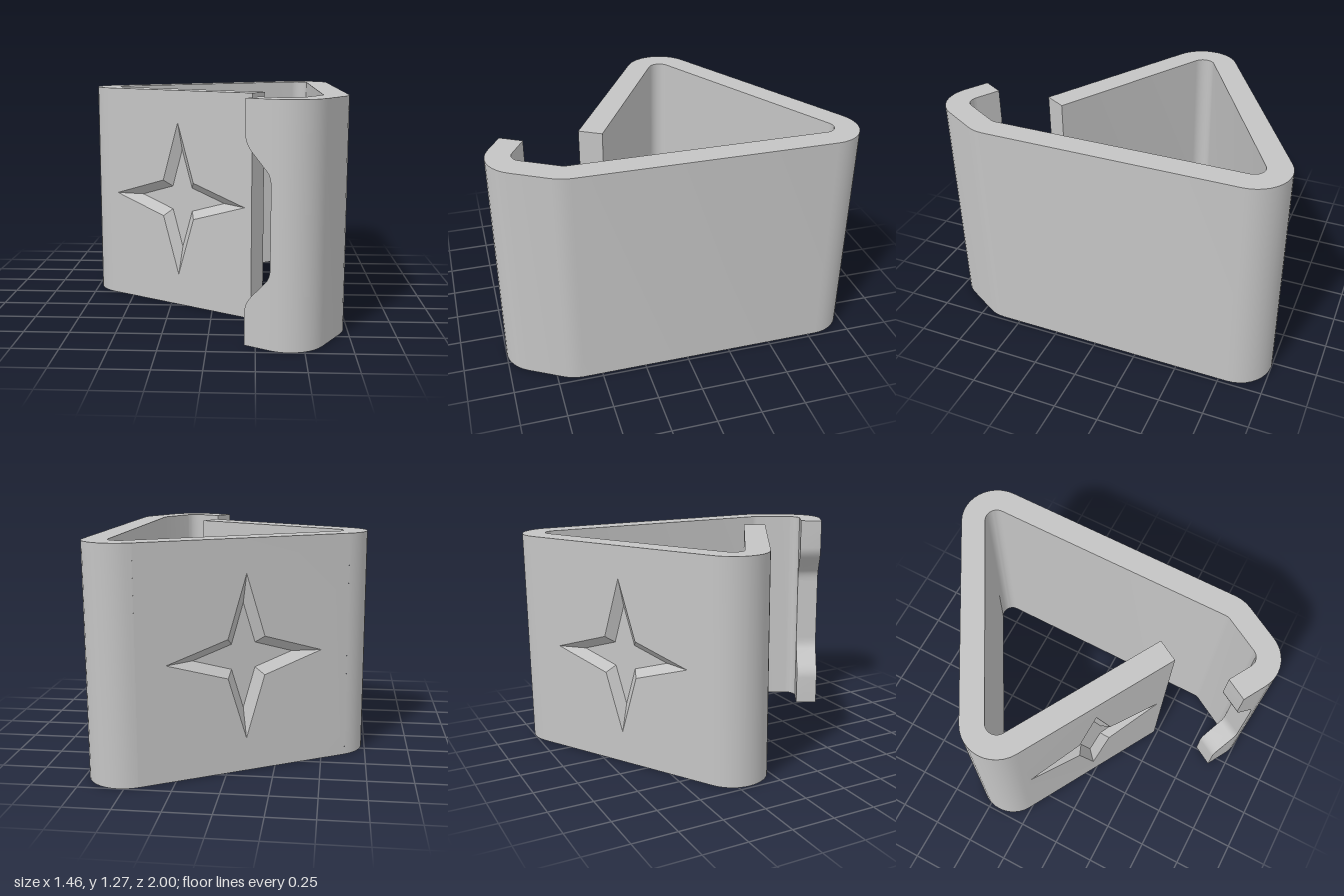
import * as THREE from 'three';
import { mergeGeometries, toCreasedNormals } from 'three/addons/utils/BufferGeometryUtils.js';

const H = 1.27;          // band height
const R = 0.2;           // outer bend radius
const T = 0.135;         // wall thickness
const STAR_DEPTH = 0.045;
const FLOOR_SCALE = 0.643;
const rad = THREE.MathUtils.degToRad;

// Bends of the band, seen from above: centre x, z and start / end angle
const BENDS = [
  [-0.532, -0.187, 120, 240],
  [0.53, -0.8, 240, 360],
  [0.53, 0.61, 0, 30],
  [0.42, 0.8, 30, 120],
];
const FRONT_LENGTH = 0.99;

const at = (bend, deg, r) =>
  new THREE.Vector2(bend[0] + r * Math.cos(rad(deg)), bend[1] + r * Math.sin(rad(deg)));

// Points along one face of the band, from the front panel's free end to the hook
function bandSide(r) {
  const start = at(BENDS[0], 120, r);
  const pts = [new THREE.Vector2(start.x + FRONT_LENGTH * Math.cos(rad(30)), start.y + FRONT_LENGTH * 0.5)];
  for (const b of BENDS) {
    const n = Math.round((b[3] - b[2]) / 10);
    for (let i = 0; i <= n; i++) pts.push(at(b, b[2] + ((b[3] - b[2]) * i) / n, r));
  }
  return pts;
}

function fromTriangles(points) {
  return new THREE.BufferGeometry().setFromPoints(points);
}

function merge(parts) {
  const plain = parts.map((p) => {
    const g = p.index ? p.toNonIndexed() : p;
    g.deleteAttribute('uv');
    g.deleteAttribute('normal');
    return g;
  });
  return toCreasedNormals(mergeGeometries(plain), 0.5);
}

// Frame whose z axis points out of an upright wall facing the given angle
function wallFrame(deg, x, z) {
  const n = new THREE.Vector3(Math.cos(rad(deg)), 0, Math.sin(rad(deg)));
  const u = new THREE.Vector3(n.z, 0, -n.x);
  return new THREE.Matrix4().makeBasis(u, new THREE.Vector3(0, 1, 0), n).setPosition(x, 0, z);
}

// Four-pointed star outline, counter-clockwise
function starPoints(scale) {
  const pts = [];
  for (let i = 0; i < 8; i++) {
    const r = (i % 2 ? 0.151 : 0.45) * scale;
    pts.push(new THREE.Vector2(r * Math.cos((i * Math.PI) / 4), r * Math.sin((i * Math.PI) / 4)));
  }
  return pts;
}

// Outer face of a panel between two plan points, with a tapered star recess
function starPanel(p, q, deg) {
  const w = p.distanceTo(q) / 2, h = H / 2;
  const face = new THREE.Shape([[-w, -h], [w, -h], [w, h], [-w, h]].map((c) => new THREE.Vector2(...c)));
  const rim = starPoints(1), floor = starPoints(FLOOR_SCALE);
  face.holes.push(new THREE.Path(rim));
  const tris = [];
  for (let i = 0; i < 8; i++) {
    const j = (i + 1) % 8;
    const a = new THREE.Vector3(rim[i].x, rim[i].y, 0), b = new THREE.Vector3(rim[j].x, rim[j].y, 0);
    const c = new THREE.Vector3(floor[j].x, floor[j].y, -STAR_DEPTH);
    const d = new THREE.Vector3(floor[i].x, floor[i].y, -STAR_DEPTH);
    tris.push(a, b, c, a, c, d);
  }
  const frame = wallFrame(deg, (p.x + q.x) / 2, (p.y + q.y) / 2);
  return [
    new THREE.ShapeGeometry(face),
    new THREE.ShapeGeometry(new THREE.Shape(floor)).translate(0, 0, -STAR_DEPTH),
    fromTriangles(tris),
  ].map((g) => g.translate(0, h, 0).applyMatrix4(frame));
}

// Bent band: walls, top and bottom edges, two star panels
function bandGeometry() {
  const outer = bandSide(R);
  const loop = [...outer, ...bandSide(R - T).reverse()];
  const backIndex = 13; // last point of the first bend
  const tris = [];
  loop.forEach((p, i) => {
    if (i === 0 || i === backIndex) return; // replaced by the star panels
    const q = loop[(i + 1) % loop.length];
    const a = new THREE.Vector3(p.x, 0, p.y), b = new THREE.Vector3(q.x, 0, q.y);
    const c = new THREE.Vector3(q.x, H, q.y), d = new THREE.Vector3(p.x, H, p.y);
    tris.push(a, d, c, a, c, b);
  });
  const flipped = loop.map((p) => new THREE.Vector2(p.x, -p.y));
  return merge([
    fromTriangles(tris),
    new THREE.ShapeGeometry(new THREE.Shape(flipped)).rotateX(-Math.PI / 2).translate(0, H, 0),
    new THREE.ShapeGeometry(new THREE.Shape(loop)).rotateX(Math.PI / 2),
    ...starPanel(outer[0], outer[1], 120),
    ...starPanel(outer[backIndex], outer[backIndex + 1], 240),
  ]);
}

// Lip at the end of the hook, curving away into the finger notch
function lipGeometry(top) {
  const L = 0.147;
  const y = (v) => (top ? v : H - v);
  const s = new THREE.Shape();
  s.moveTo(0, y(0.84));
  s.quadraticCurveTo(0, y(0.89), -0.023, y(0.915));
  s.lineTo(-0.104, y(1.0));
  s.quadraticCurveTo(-L, y(1.045), -L, y(1.09));
  s.lineTo(-L, y(H));
  s.lineTo(0, y(H));
  s.closePath();
  const base = at(BENDS[3], 120, R - T);
  const g = new THREE.ExtrudeGeometry(s, { depth: T, bevelEnabled: false, curveSegments: 5 });
  return merge([g.applyMatrix4(wallFrame(120, base.x, base.y))]);
}

export function createModel() {
  const grey = new THREE.MeshStandardMaterial({ color: 0xc4c4c4 });
  grey.name = 'light grey';
  const model = new THREE.Group();
  model.name = 'triangularClip';
  const add = (name, geometry) => {
    const mesh = new THREE.Mesh(geometry, grey);
    mesh.name = name;
    model.add(mesh);
  };
  add('bentBand', bandGeometry());
  add('upperHookLip', lipGeometry(true));
  add('lowerHookLip', lipGeometry(false));
  return model;
}
